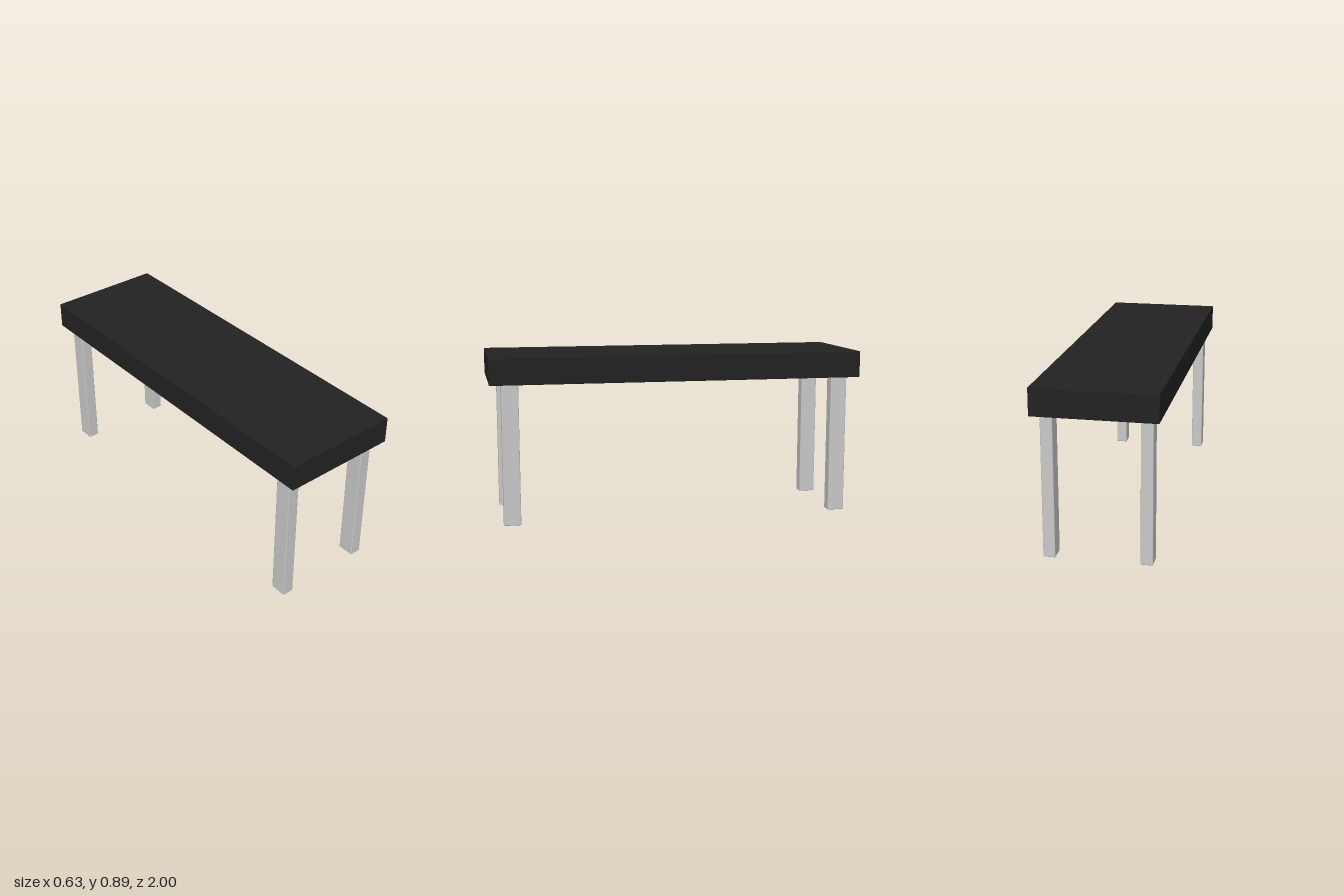
import * as THREE from 'three';
import { RoundedBoxGeometry } from 'three/addons/geometries/RoundedBoxGeometry.js';

export function createModel() {
  const model = new THREE.Group();
  model.name = 'bench';

  const black = new THREE.MeshStandardMaterial({ color: 0x222222 });
  black.name = 'black top';
  const grey = new THREE.MeshStandardMaterial({ color: 0xc9c9c9 });
  grey.name = 'light grey legs';

  const height = 0.888, legHeight = 0.746;

  // Thick slab with slightly eased edges
  const slab = height - legHeight;
  const top = new THREE.Mesh(new RoundedBoxGeometry(0.627, slab, 2, 2, 0.004), black);
  top.name = 'top';
  top.position.y = legHeight + slab / 2;
  model.add(top);

  // Four rectangular legs, set in from the corners
  const legGeometry = new RoundedBoxGeometry(0.062, legHeight, 0.09, 2, 0.005);
  for (const z of [1, -1]) {
    for (const x of [1, -1]) {
      const leg = new THREE.Mesh(legGeometry, grey);
      leg.name = `${z > 0 ? 'front' : 'back'}${x > 0 ? 'Left' : 'Right'}Leg`;
      leg.position.set(x * 0.245, legHeight / 2, z * 0.894);
      model.add(leg);
    }
  }
  return model;
}
